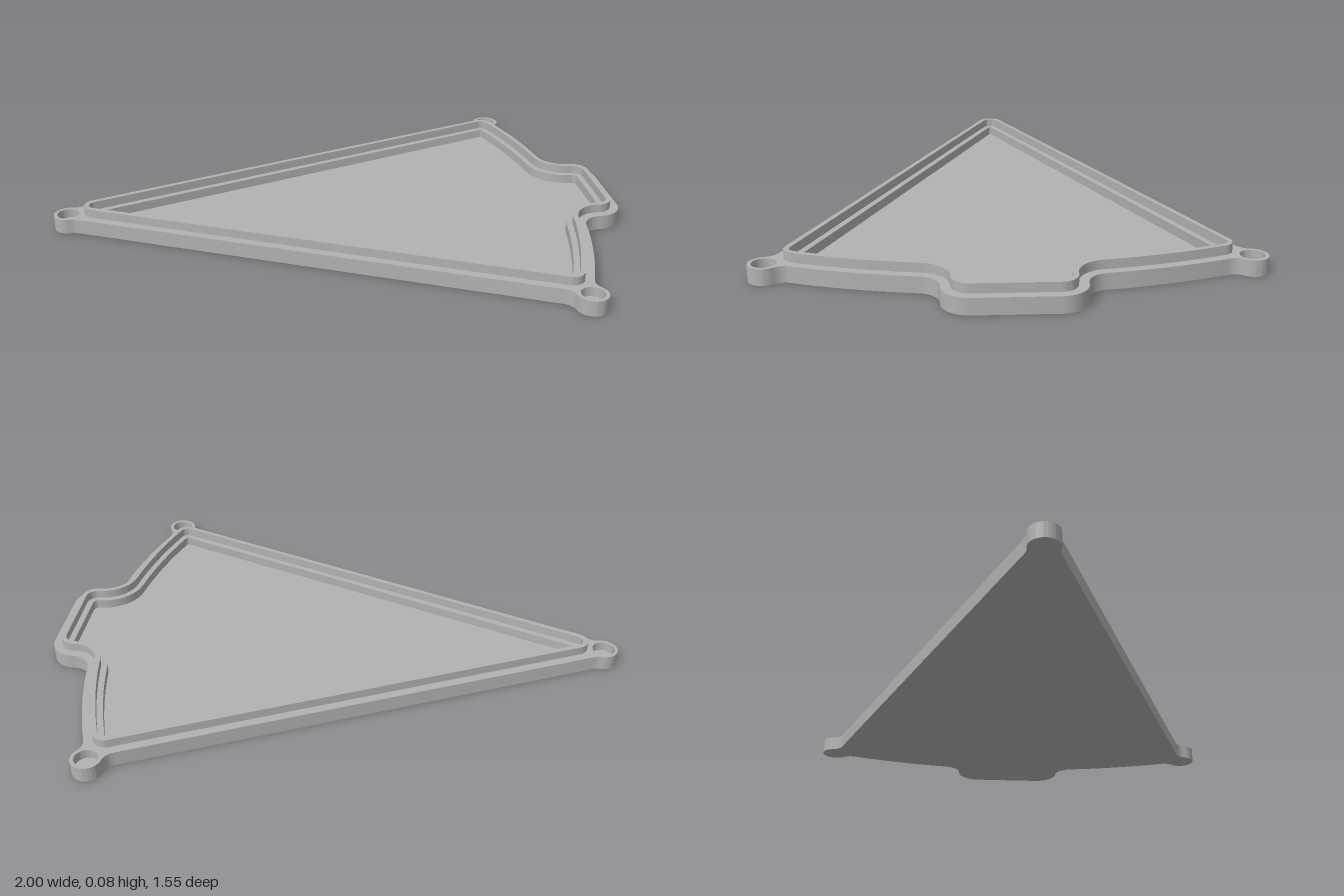
import * as THREE from 'three';
import { toCreasedNormals } from 'three/addons/utils/BufferGeometryUtils.js';

const A = Math.PI / 8;                       // half angle of the wedge
const apex = new THREE.Vector2(-1.04, 0);    // where the straight edges would meet
const R = 1.9;                               // radius of the curved end
const BOSS = 0.05, HOLE = 0.038, F = 0.05;   // screw boss, its hole, blend radius
const FLOOR = 0.02, RIM = 0.052, LIP = 0.082;

const polar = (c, r, a) => new THREE.Vector2(c.x + r * Math.cos(a), c.y + r * Math.sin(a));
const angle = (from, to) => Math.atan2(to.y - from.y, to.x - from.x);
const tip = new THREE.Vector2(-0.95, 0);
const corner = polar(apex, R, A);

// Append an arc; dir is 1 for counterclockwise, -1 for clockwise
function arc(pts, c, r, a0, a1, dir, n = 10) {
  let sweep = (a1 - a0) * dir;
  while (sweep < 0) sweep += Math.PI * 2;
  while (sweep > Math.PI * 2) sweep -= Math.PI * 2;
  for (let i = 0; i <= n; i++) pts.push(polar(c, r, a0 + dir * sweep * i / n));
}

// Outline inset by d: tab, curved end, corner and tip; one half is mirrored
function outline(d, bosses = false) {
  const p = [new THREE.Vector2(1 - d, 0)];
  arc(p, new THREE.Vector2(0.915, 0.125), 0.085 - d, 0, Math.PI / 2, 1);
  const notchAngle = Math.asin(0.28 / (R + 0.07));
  arc(p, polar(apex, R + 0.07, notchAngle), 0.07 + d, -Math.PI / 2, notchAngle - Math.PI, -1);
  if (bosses) {
    const phi = Math.acos((R * R + (R + F) ** 2 - (BOSS + F) ** 2) / (2 * R * (R + F)));
    arc(p, apex, R, notchAngle, A - phi, 1, 24);
    // Corner boss with a blend on both sides
    const f1 = polar(apex, R + F, A - phi);
    const along = Math.sqrt((BOSS + F) ** 2 - F * F);
    const f2 = polar(polar(corner, -along, A), F, A + Math.PI / 2);
    arc(p, f1, F, A - phi + Math.PI, angle(f1, corner), -1);
    arc(p, corner, BOSS, angle(corner, f1), angle(corner, f2), 1, 28);
    arc(p, f2, F, angle(f2, corner), A - Math.PI / 2, -1);
    // Tip boss
    const off = (tip.x - apex.x) * Math.sin(A) + F;
    const f3 = polar(polar(tip, Math.sqrt((BOSS + F) ** 2 - off * off), A), off, A + Math.PI / 2);
    arc(p, f3, F, A - Math.PI / 2, angle(f3, tip), -1);
    arc(p, tip, BOSS, angle(tip, f3), Math.PI, 1, 16);
  } else {
    const r = Math.max(0.073 - d, 0.006);
    const th = A - Math.asin((d + r) / (R - d - r));
    arc(p, apex, R - d, notchAngle, th, 1, 24);
    arc(p, polar(apex, R - d - r, th), r, th, A + Math.PI / 2, 1);
    arc(p, new THREE.Vector2(apex.x + (d + r) / Math.sin(A), 0), r, A + Math.PI / 2, Math.PI, 1);
  }
  const mirrored = p.slice(1, -1).reverse().map(v => new THREE.Vector2(v.x, -v.y));
  // Drop the doubled points where arcs meet
  return [...p, ...mirrored].filter((v, i, all) => i === 0 || v.distanceTo(all[i - 1]) > 1e-5);
}

function circle(c, r) {
  const p = [];
  arc(p, c, r, 0, Math.PI * 2 - Math.PI / 18, 1, 35);
  return p;
}

export function createModel() {
  const group = new THREE.Group();
  const grey = new THREE.MeshStandardMaterial({ color: 0xb2b2b2 });
  grey.name = 'plain grey';

  // Slab between two heights, with optional openings
  function slab(name, points, holes, y0, y1) {
    const shape = new THREE.Shape(points);
    shape.holes = holes.map(h => new THREE.Path(h));
    const geo = new THREE.ExtrudeGeometry(shape, { depth: y1 - y0, bevelEnabled: false });
    geo.rotateX(-Math.PI / 2).translate(0, y0, 0);
    const mesh = new THREE.Mesh(toCreasedNormals(geo, 0.6), grey);
    mesh.name = name;
    group.add(mesh);
  }

  const outer = outline(0, true);
  const bossHoles = [tip, corner, new THREE.Vector2(corner.x, -corner.y)].map(c => circle(c, HOLE));
  slab('floorPlate', outer, [], 0, FLOOR);
  slab('rimWithBosses', outer, [outline(0.068), ...bossHoles], FLOOR, RIM);
  slab('raisedLip', outline(0.03), [outline(0.047)], RIM, LIP);
  return group;
}
